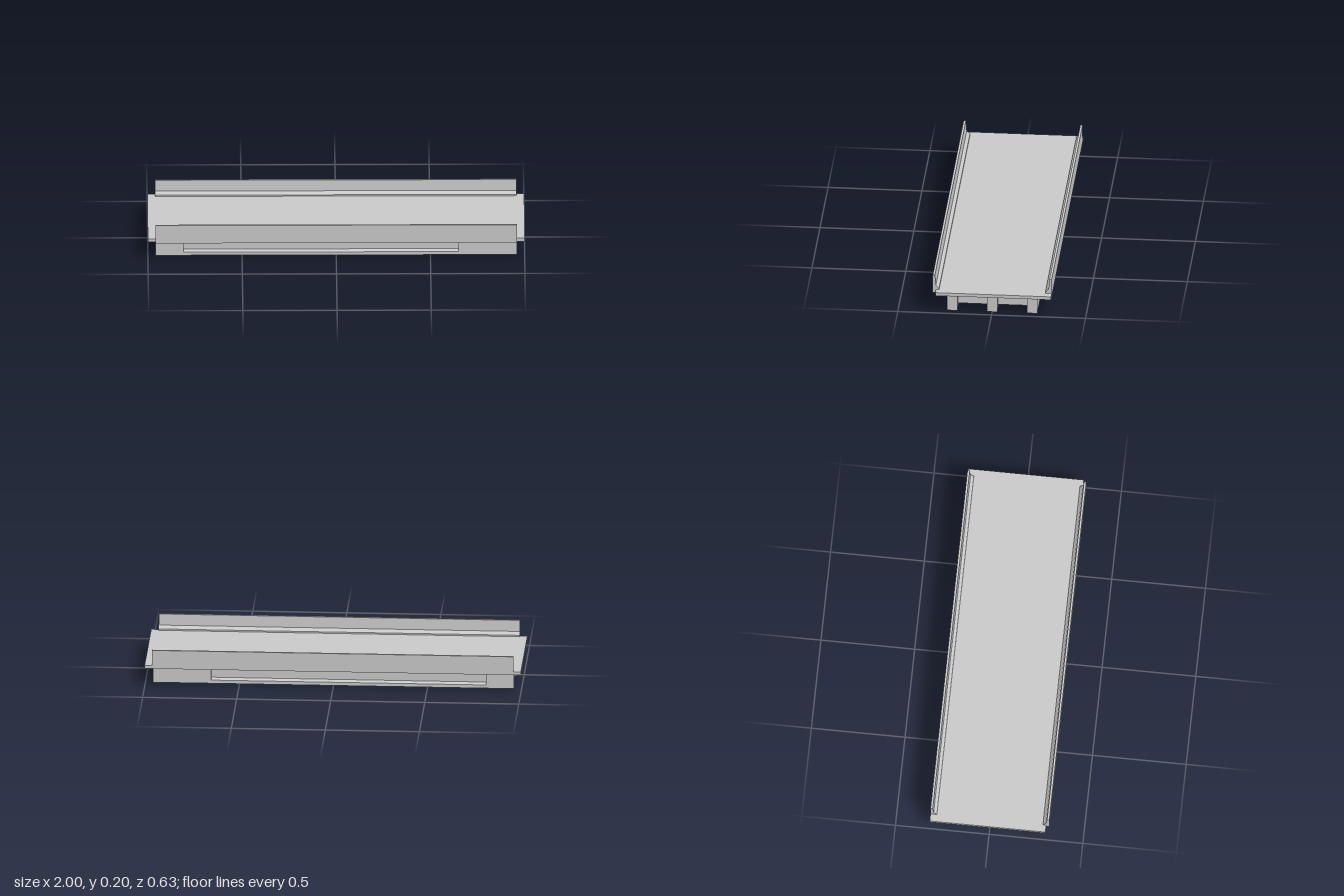
import * as THREE from 'three';

const material = new THREE.MeshStandardMaterial({ color: 0xcccccc, flatShading: true });

// Sweep a [z, y] cross-section along x from x0 to x1
function sweep(name, points, x0, x1) {
  const shape = new THREE.Shape(points.map(([z, y]) => new THREE.Vector2(-z, y)));
  const geometry = new THREE.ExtrudeGeometry(shape, { depth: x1 - x0, bevelEnabled: false });
  geometry.rotateY(Math.PI / 2).translate(x0, 0, 0);
  const mesh = new THREE.Mesh(geometry, material);
  mesh.name = name;
  return mesh;
}

function box(name, x0, x1, y0, y1, z0, z1) {
  const mesh = new THREE.Mesh(new THREE.BoxGeometry(x1 - x0, y1 - y0, z1 - z0), material);
  mesh.position.set((x0 + x1) / 2, (y0 + y1) / 2, (z0 + z1) / 2);
  mesh.name = name;
  return mesh;
}

// Mirror a half profile (bottom to top) about z = 0
const symmetric = half => [...half, ...half.map(([z, y]) => [-z, y]).reverse()];

export function createModel() {
  const model = new THREE.Group();
  model.name = 'bridgeSpan';
  const end = 0.96, spacing = 0.213, stem = 0.027, web = 0.014;
  const recessStart = -0.81, recessEnd = 0.65;

  // Deck slab
  model.add(box('deck', -1, 1, 0.101, 0.119, -0.317, 0.3));

  // Girders: solid T-shaped ends, slimmer web with a bottom flange between
  const flange = [[0.046, 0.09], [0.046, 0.101]];
  const solid = symmetric([[stem, 0], [stem, 0.083], ...flange]);
  const slim = symmetric([[stem, 0], [stem, 0.018], [web, 0.03], [web, 0.083], [stem, 0.083], ...flange]);
  for (const i of [-1, 0, 1]) {
    const girder = new THREE.Group();
    girder.name = 'girder';
    girder.add(
      sweep('girderEnd', solid, -end, recessStart),
      sweep('girderWeb', slim, recessStart, recessEnd),
      sweep('girderEnd', solid, recessEnd, end));
    girder.position.z = i * spacing;
    model.add(girder);
  }

  // Cross beams between neighbouring girders
  for (const x of [-0.89, 0, 0.89]) {
    for (const side of [-1, 1]) {
      const z = side * spacing / 2, half = spacing / 2 - web;
      model.add(box('crossBeam', x - 0.02, x + 0.02, 0.021, 0.101, z - half, z + half));
    }
  }

  // Barriers with a sloped inner foot; the front one laps over the deck edge
  const face = [[0.317, 0.203], [0.305, 0.203], [0.3, 0.143], [0.283, 0.127], [0.283, 0.119]];
  model.add(sweep('frontBarrier', [...face, [0.3, 0.119], [0.3, 0.101], [0.317, 0.101]], -end, end));
  model.add(sweep('backBarrier', [...face, [0.317, 0.119]].map(([z, y]) => [-z, y]), -end, end));

  return model;
}
